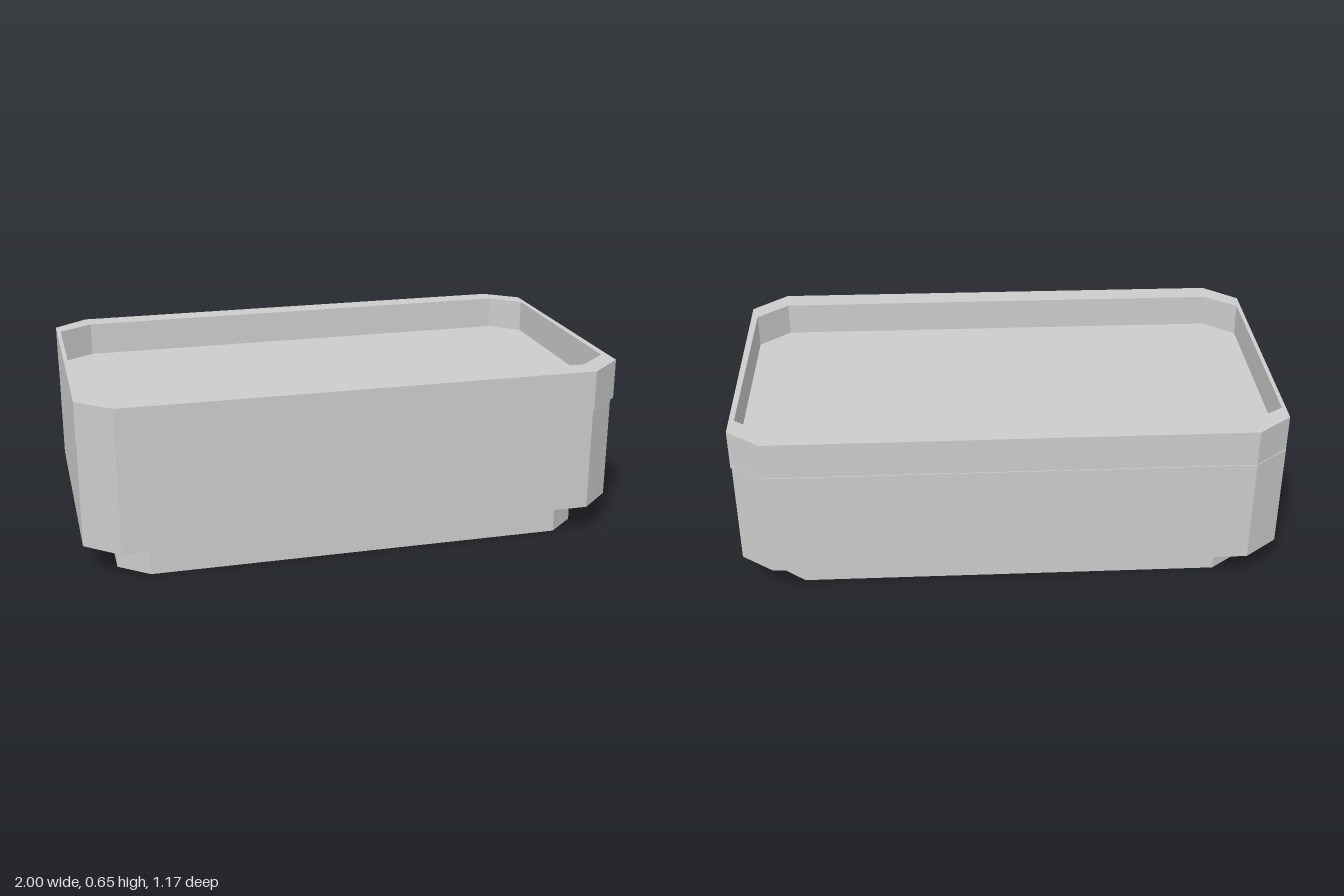
import * as THREE from 'three';

const material = new THREE.MeshStandardMaterial({ color: 0xcccccc, flatShading: true });

// Plan outlines as [x, z] corners, clockwise from above, starting at the back left of the plan
const baseOutline = [[-0.88, -0.42], [-0.77, -0.503], [0.765, -0.503], [0.868, -0.422],
  [0.868, 0.43], [0.765, 0.52], [-0.77, 0.52], [-0.88, 0.43]];
const bodyOutline = [[-0.999, -0.49], [-0.875, -0.586], [0.868, -0.586], [0.988, -0.495],
  [0.988, 0.47], [0.868, 0.58], [-0.875, 0.575], [-0.999, 0.47]];
const rimOutline = [[-1, -0.485], [-0.875, -0.583], [0.87, -0.583], [0.994, -0.487],
  [1, 0.47], [0.87, 0.585], [-0.875, 0.575], [-1, 0.47]];
const rimOpening = [[-0.985, -0.42], [-0.86, -0.5], [0.865, -0.5], [0.975, -0.41],
  [0.975, 0.395], [0.86, 0.495], [-0.865, 0.49], [-0.985, 0.4]];

const toPoints = (outline) => outline.map(([x, z]) => new THREE.Vector2(x, -z));

// Upright prism over an outline; an opening is wound the other way so its walls face inward
function prism(name, outline, bottom, top, opening) {
  const shape = new THREE.Shape(toPoints(outline));
  if (opening) shape.holes.push(new THREE.Path(toPoints(opening).reverse()));
  const geometry = new THREE.ExtrudeGeometry(shape, { depth: top - bottom, bevelEnabled: false });
  geometry.rotateX(-Math.PI / 2).translate(0, bottom, 0);
  const mesh = new THREE.Mesh(geometry, material);
  mesh.name = name;
  return mesh;
}

export function createModel() {
  const model = new THREE.Group();
  model.name = 'chamferedTray';
  model.add(
    prism('base', baseOutline, 0, 0.113, null),
    prism('body', bodyOutline, 0.113, 0.515, null),
    prism('trayFloor', rimOpening, 0.515, 0.525, null),
    prism('rim', rimOutline, 0.5, 0.65, rimOpening),
  );
  return model;
}
